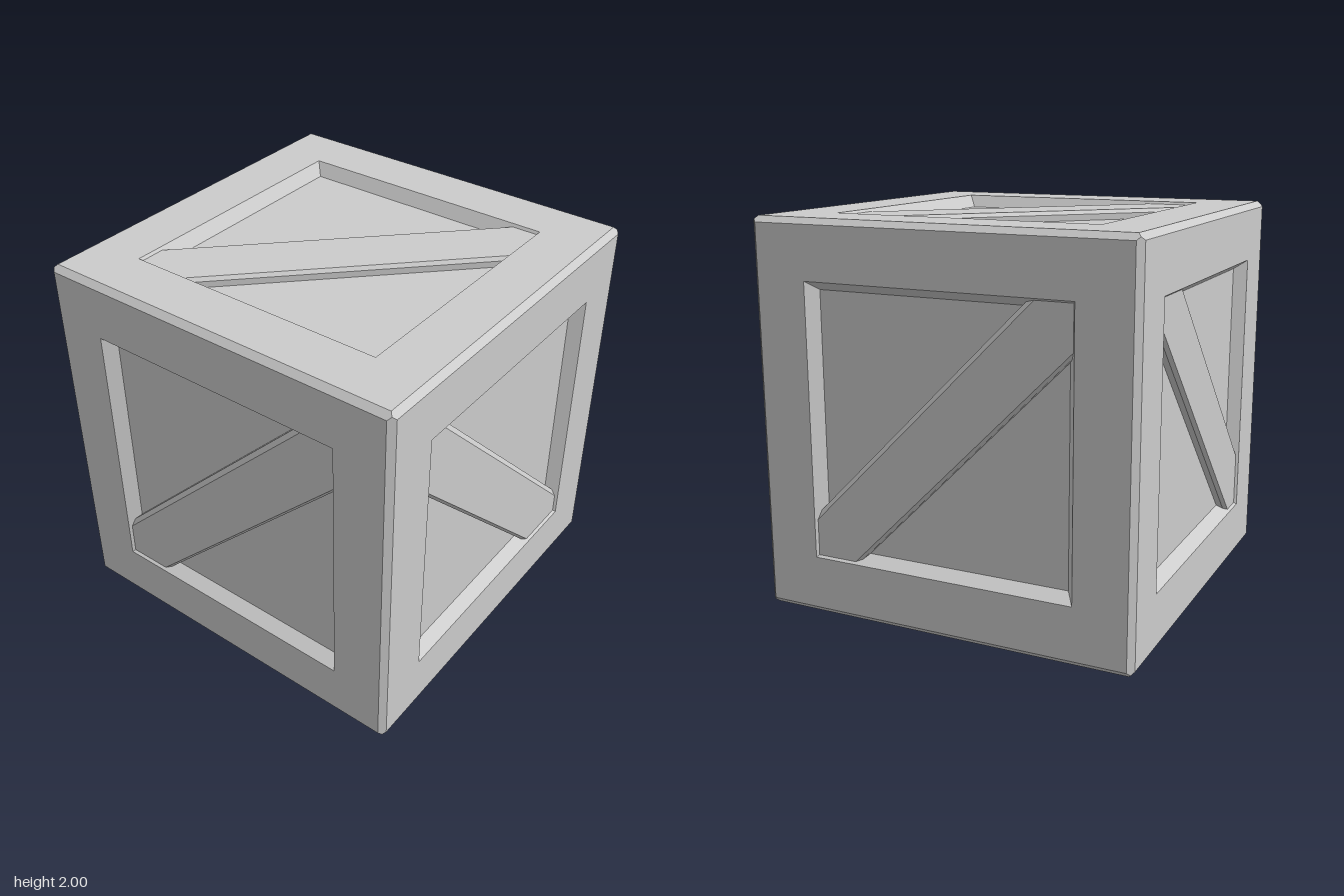
import * as THREE from 'three';

const material = new THREE.MeshStandardMaterial({ color: 0xcccccc, flatShading: true });

// One square face: half of the edge chamfer, flat frame, sloped recess wall, inner panel
function panelGeometry() {
  const profile = [[0.985, 0.985], [0.97, 1], [0.7, 1], [0.655, 0.935], [0, 0.935]];
  const points = profile.map(([half, h]) => new THREE.Vector2(half * Math.SQRT2, h));
  return new THREE.LatheGeometry(points, 4, Math.PI / 4);
}

// Outline of a diagonal plank trimmed by a square of half size w; low and high bound p + q
function outline(w, low, high, h) {
  return [[-w, w], [high - w, w], [w, high - w], [w, -w], [low + w, -w], [-w, low + w]]
    .map(([p, q]) => [p, h, -q]);
}

// Diagonal plank with bevelled long edges, its ends meeting the recess walls
function braceGeometry(low, high) {
  const rings = [
    outline(0.655, low - 0.02, high + 0.035, 0.935),
    outline(0.677, low - 0.02, high + 0.035, 0.967),
    outline(0.69, low, high, 0.986),
  ];
  const positions = [];
  const tri = (a, b, c) => positions.push(...a, ...b, ...c);
  for (let k = 0; k < 2; k++) {
    const [lower, upper] = [rings[k], rings[k + 1]];
    for (const i of [1, 4]) { // the two long sides
      tri(lower[i + 1], lower[i], upper[i]);
      tri(lower[i + 1], upper[i], upper[i + 1]);
    }
  }
  const top = rings[2];
  for (let i = 1; i < 5; i++) tri(top[0], top[i + 1], top[i]);
  const geometry = new THREE.BufferGeometry();
  geometry.setAttribute('position', new THREE.Float32BufferAttribute(positions, 3));
  geometry.computeVertexNormals();
  return geometry;
}

export function createModel() {
  const crate = new THREE.Group();
  crate.name = 'crate';
  const panel = panelGeometry();

  // Each side: outward normal, direction of its local x, and bounds of its diagonal plank
  const sides = [
    ['front', [0, 0, 1], [1, 0, 0], -0.3, 0.11],
    ['back', [0, 0, -1], [-1, 0, 0], -0.13, 0.28],
    ['right', [1, 0, 0], [0, 1, 0], -0.217, 0.188],
    ['left', [-1, 0, 0], [0, 1, 0], -0.23, 0.175],
    ['top', [0, 1, 0], [1, 0, 0], -0.268, 0.137],
    ['bottom', [0, -1, 0], [1, 0, 0], -0.21, 0.2],
  ];
  for (const [name, normal, across, low, high] of sides) {
    const n = new THREE.Vector3(...normal);
    const x = new THREE.Vector3(...across);
    const side = new THREE.Group();
    side.name = name + 'Side';
    side.quaternion.setFromRotationMatrix(
      new THREE.Matrix4().makeBasis(x, n, new THREE.Vector3().crossVectors(x, n)));
    side.position.y = 1;

    const frame = new THREE.Mesh(panel, material);
    frame.name = name + 'Frame';
    const brace = new THREE.Mesh(braceGeometry(low, high), material);
    brace.name = name + 'Brace';
    side.add(frame, brace);
    crate.add(side);
  }
  return crate;
}
